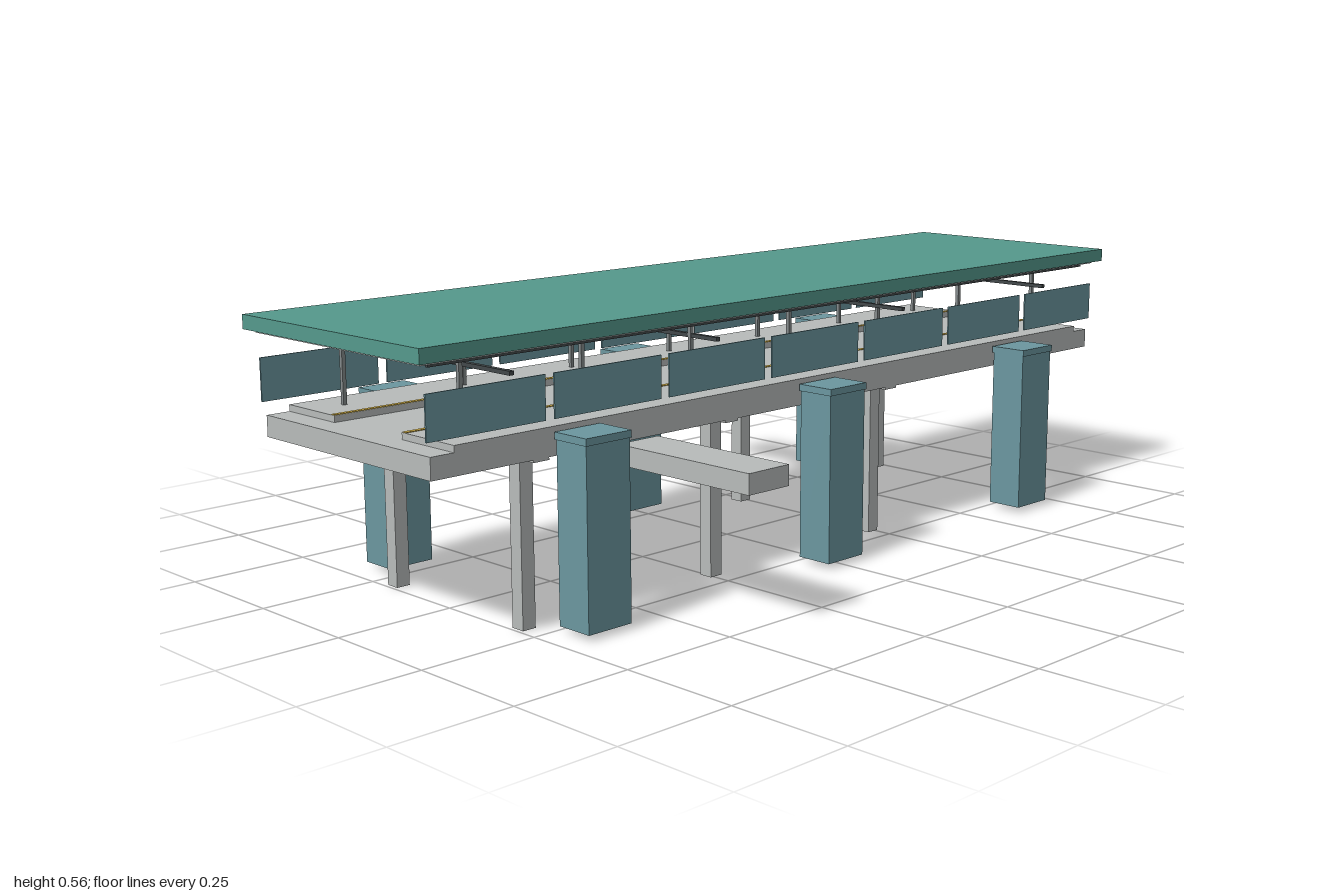
import * as THREE from 'three';

const mat = (name, color) => {
  const m = new THREE.MeshStandardMaterial({ color });
  m.name = name;
  return m;
};

export function createModel() {
  const concrete = mat('concrete', 0xb9bdbc);
  const green = mat('roof green', 0x569a8d);
  const blue = mat('slate blue', 0x6c98a1);
  const steel = mat('steel grey', 0x858b8c);
  const dark = mat('dark fittings', 0x43494b);
  const yellow = mat('safety yellow', 0xd6b44a);

  const model = new THREE.Group();
  model.name = 'elevatedStation';

  // Box given by its lower and upper limits on each axis
  const box = (name, material, [x0, x1], [y0, y1], [z0, z1]) => {
    const mesh = new THREE.Mesh(new THREE.BoxGeometry(x1 - x0, y1 - y0, z1 - z0), material);
    mesh.position.set((x0 + x1) / 2, (y0 + y1) / 2, (z0 + z1) / 2);
    mesh.name = name;
    model.add(mesh);
  };
  const around = (c, size) => [c - size / 2, c + size / 2];
  const mirrored = (side, a, b) => (side > 0 ? [a, b] : [-b, -a]);

  // Roof slab with recessed soffit, and the deck
  box('roof', green, [-0.272, 0.272], [0.534, 0.562], [-1, 1]);
  box('soffit', concrete, [-0.253, 0.253], [0.528, 0.534], [-0.985, 0.985]);
  box('deck', concrete, [-0.253, 0.253], [0.328, 0.37], [-0.97, 0.97]);

  for (const side of [1, -1]) {
    // Platform with a warning line on its inner edge
    box('platform', concrete, mirrored(side, 0.104, 0.254), [0.37, 0.383], [-0.92, 0.92]);
    box('warningLine', yellow, mirrored(side, 0.105, 0.115), [0.383, 0.3845], [-0.919, 0.919]);

    // Lighting strip under the roof
    box('lightStrip', dark, mirrored(side, 0.234, 0.24), [0.521, 0.528], [-0.96, 0.96]);

    // Roof posts and side screens
    for (let i = -3; i <= 3; i++) {
      const z = i * 0.2825;
      box('roofPost', steel, around(side * 0.179, 0.008), [0.383, 0.53], around(z, 0.008));
      box('sideScreen', blue, around(side * 0.254, 0.003), [0.396, 0.48], around(z, 0.262));
    }

    // Supporting legs with flat heads
    for (const z of [-0.727, -0.243, 0.243, 0.727]) {
      box('leg', concrete, around(side * 0.194, 0.03), [0, 0.328], around(z, 0.03));
      box('legHead', concrete, around(side * 0.192, 0.122), [0.323, 0.329], around(z, 0.036));
    }

    // Large outer pillars with caps
    for (const z of [-0.647, 0, 0.647]) {
      box('pillar', blue, around(side * 0.302, 0.08), [0.012, 0.36], around(z, 0.104));
      box('pillarCap', blue, around(side * 0.302, 0.085), [0.36, 0.374], around(z, 0.109));
    }

    // Access walkway, one on each side
    box('walkway', concrete, mirrored(side, 0.2, 0.544), [0.27, 0.31], around(side * 0.444, 0.104));
  }

  // Cross rods below the roof
  for (const z of [-0.79, -0.28, 0.28, 0.79]) {
    box('crossRod', dark, [-0.253, 0.253], [0.487, 0.495], around(z, 0.01));
  }

  return model;
}
